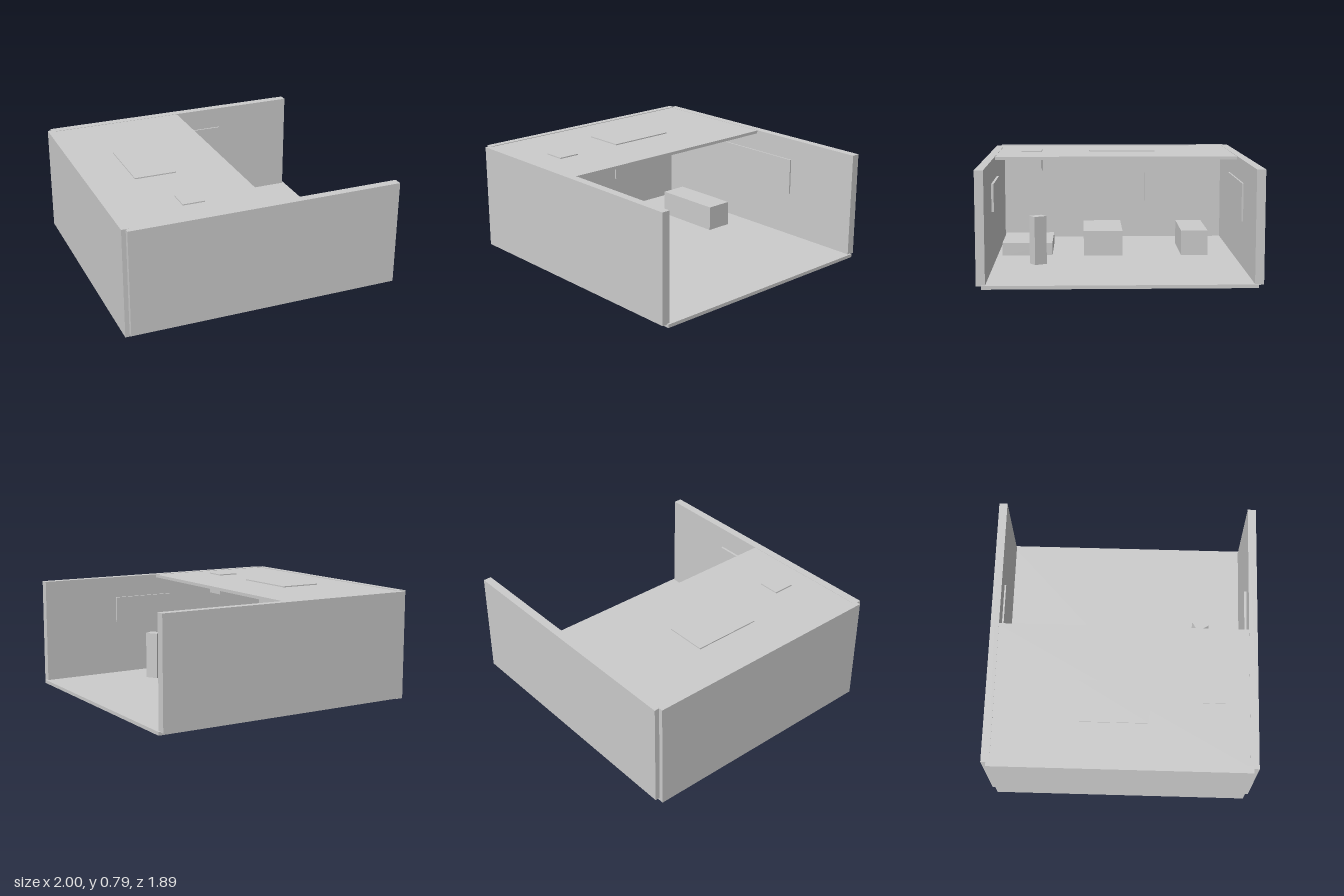
import * as THREE from 'three';

const material = new THREE.MeshStandardMaterial({ color: 0xcccccc, flatShading: true });

// Box given by its extents along each axis
function box(name, [x0, x1], [y0, y1], [z0, z1]) {
  const mesh = new THREE.Mesh(new THREE.BoxGeometry(x1 - x0, y1 - y0, z1 - z0), material);
  mesh.position.set((x0 + x1) / 2, (y0 + y1) / 2, (z0 + z1) / 2);
  mesh.name = name;
  return mesh;
}

export function createModel() {
  const room = new THREE.Group();
  room.name = 'room';

  // Shell: floor, closed end wall, two long walls and a half ceiling
  room.add(
    box('floor', [-0.96, 1], [0.003, 0.027], [-0.91, 0.91]),
    box('endWall', [-1, -0.95], [0, 0.786], [-0.91, 0.91]),
    box('ceiling', [-0.97, 0.04], [0.76, 0.782], [-0.905, 0.905]),
  );
  for (const side of [1, -1]) {
    const wall = box(side > 0 ? 'frontWall' : 'backWall', [-0.97, 0.985], [0.022, 0.784], [0.885, 0.945]);
    wall.position.z *= side;
    room.add(wall);
  }

  // Ceiling fittings that show slightly above the roof
  room.add(
    box('ceilingPanel', [-0.67, -0.37], [0.76, 0.79], [-0.305, 0.195]),
    box('ceilingUnit', [-0.515, -0.36], [0.63, 0.79], [0.56, 0.715]),
  );

  // Panels on the inside of the walls
  room.add(
    box('backWallPanel', [-0.34, 0.4], [0.355, 0.625], [-0.89, -0.873]),
    box('frontWallPanel', [-0.1, 0.4], [0.43, 0.625], [0.868, 0.89]),
    box('endWallPanel', [-0.955, -0.935], [0.29, 0.68], [-0.45, -0.26]),
  );

  // Furniture standing on the floor
  room.add(
    box('bench', [-0.6, -0.07], [0.02, 0.213], [-0.69, -0.49]),
    box('table', [-0.6, -0.07], [0.02, 0.215], [-0.05, 0.24]),
    box('lowPlatform', [-0.6, -0.1], [0.02, 0.12], [0.475, 0.85]),
  );
  const pedestal = box('pedestal', [0.193, 0.273], [0.02, 0.375], [0.52, 0.616]);
  pedestal.rotation.y = 0.53;
  room.add(pedestal);

  return room;
}
